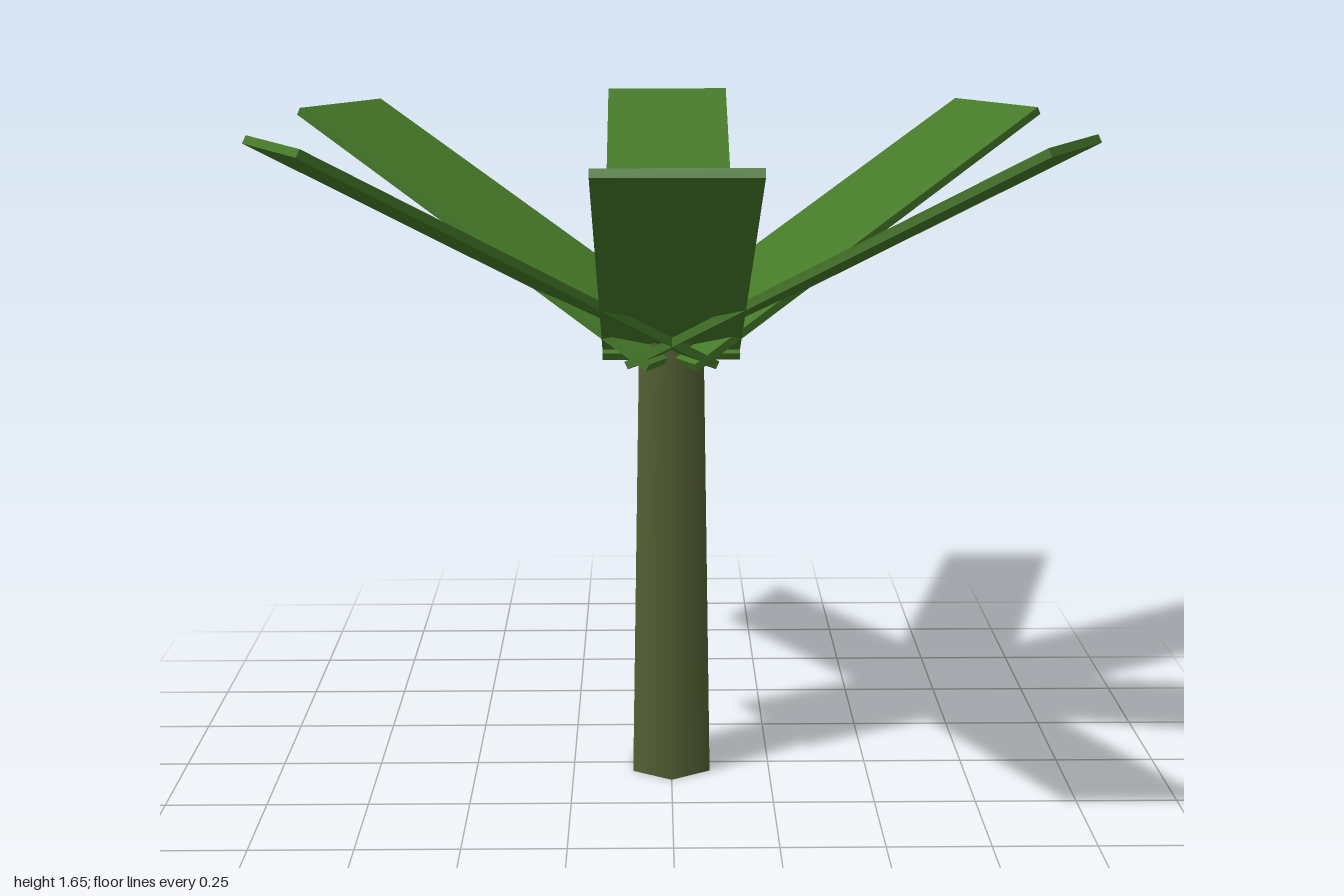
import * as THREE from 'three';

const HEIGHT = 1.25;
const FRONDS = 6;
const TILT = 0.5;

export function createModel() {
  const model = new THREE.Group();
  model.name = 'palmTree';

  const bark = new THREE.MeshStandardMaterial({ color: 0x555f33 });
  bark.name = 'olive bark';
  const leaf = new THREE.MeshStandardMaterial({ color: 0x457828 });
  leaf.name = 'leaf green';

  // Tapered six-sided trunk, smooth around its sides
  const trunk = new THREE.Mesh(new THREE.CylinderGeometry(0.088, 0.113, HEIGHT, 6), bark);
  trunk.name = 'trunk';
  trunk.position.y = HEIGHT / 2;
  model.add(trunk);

  // Flat plank fronds, tilted upward and fanned around the crown
  const plank = new THREE.BoxGeometry(0.336, 0.02, 1.168);
  const crown = new THREE.Group();
  crown.name = 'crown';
  for (let i = 0; i < FRONDS; i++) {
    const arm = new THREE.Group();
    arm.name = `frondArm${i + 1}`;
    arm.rotation.y = (i / FRONDS) * Math.PI * 2;
    const frond = new THREE.Mesh(plank, leaf);
    frond.name = 'frond';
    frond.position.set(0, 1.359, 0.483);
    frond.rotation.x = -TILT;
    arm.add(frond);
    crown.add(arm);
  }
  model.add(crown);

  return model;
}
